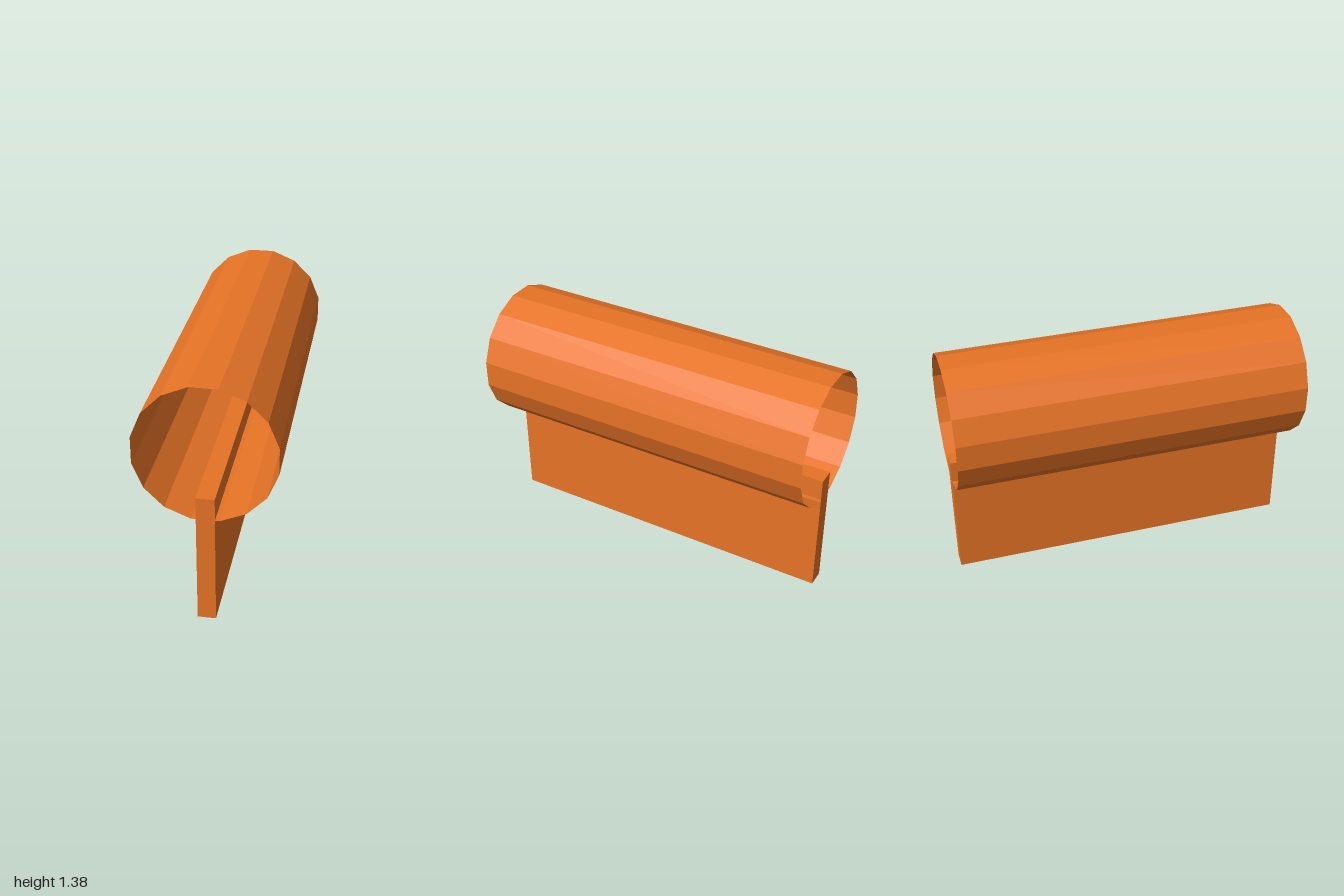
import * as THREE from 'three';

export function createModel() {
  const model = new THREE.Group();
  const orange = new THREE.MeshStandardMaterial({ color: 0xe67326, flatShading: true, side: THREE.DoubleSide });
  orange.name = 'orange';

  // Open sixteen-sided tube along z, with flat faces at top, bottom and sides
  const sides = 16;
  const halfWidth = 0.375;
  const step = Math.PI / sides;
  const tubeGeometry = new THREE.CylinderGeometry(
    halfWidth / Math.cos(step), halfWidth / Math.cos(step), 2, sides, 1, true, step);
  tubeGeometry.rotateX(Math.PI / 2);
  const tube = new THREE.Mesh(tubeGeometry, orange);
  tube.name = 'tube';
  tube.position.y = 1;
  model.add(tube);

  // Upright slab that carries the tube and pokes through its floor
  const slab = new THREE.Mesh(new THREE.BoxGeometry(0.1, 0.75, 2), orange);
  slab.name = 'supportSlab';
  slab.position.y = 0.375;
  model.add(slab);

  return model;
}
